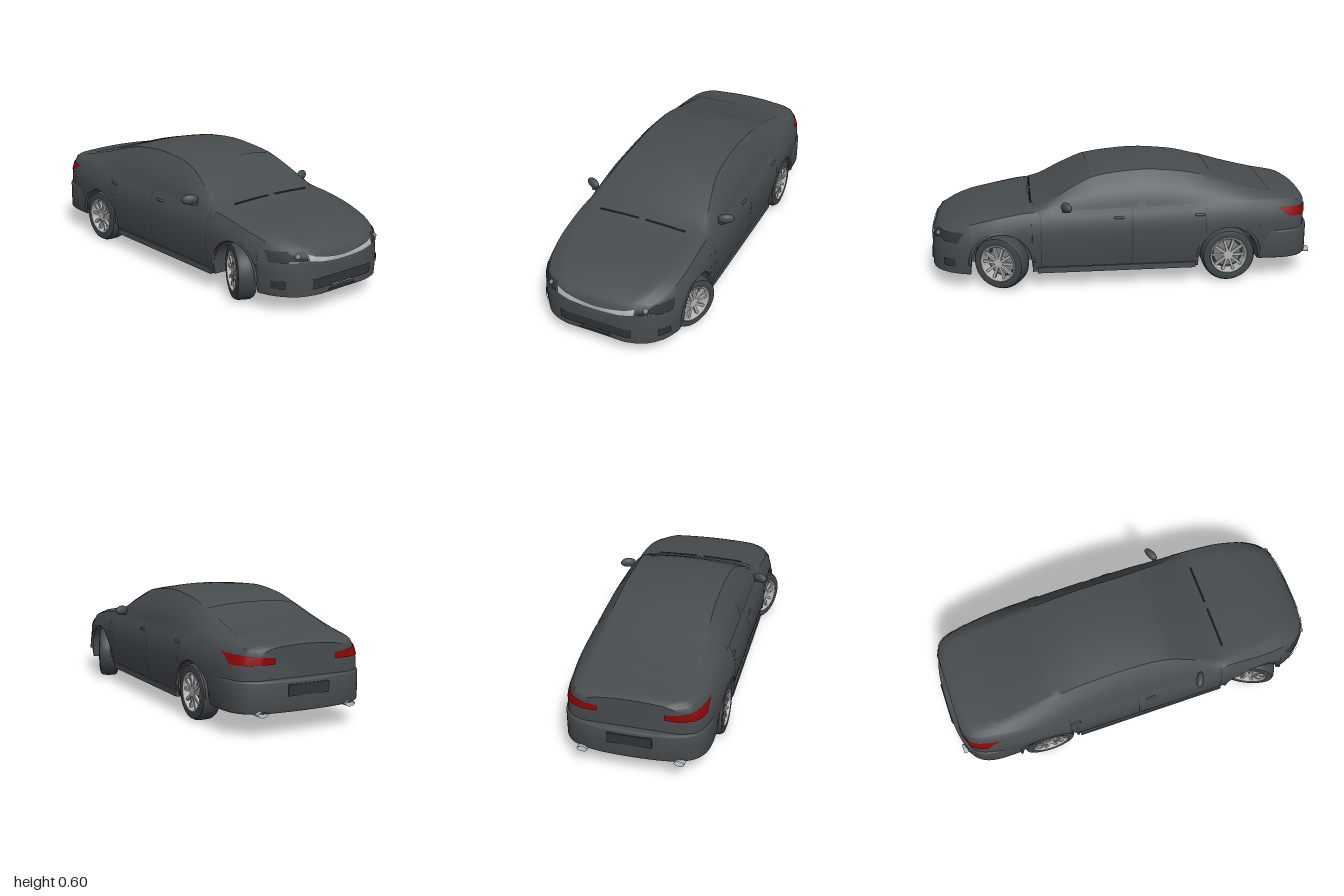
import * as THREE from 'three';
import { toCreasedNormals } from 'three/addons/utils/BufferGeometryUtils.js';

const mat = (name, color, side = THREE.FrontSide) => new THREE.MeshStandardMaterial({ name, color, side });

// Body stations: z, half width, belt x, belt y, roof edge x, roof edge y, centre top y
const ROWS = [
  [-0.962, 0.24, 0.215, 0.395, 0.17, 0.408, 0.418],
  [-0.93, 0.31, 0.275, 0.406, 0.235, 0.42, 0.43],
  [-0.88, 0.34, 0.30, 0.412, 0.26, 0.428, 0.437],
  [-0.78, 0.362, 0.32, 0.42, 0.27, 0.445, 0.455],
  [-0.6, 0.38, 0.345, 0.422, 0.265, 0.49, 0.503],
  [-0.45, 0.386, 0.352, 0.42, 0.255, 0.535, 0.553],
  [-0.3, 0.385, 0.352, 0.417, 0.25, 0.57, 0.588],
  [-0.1, 0.385, 0.352, 0.413, 0.25, 0.585, 0.603],
  [0.05, 0.385, 0.352, 0.41, 0.252, 0.575, 0.594],
  [0.17, 0.385, 0.352, 0.408, 0.262, 0.555, 0.573],
  [0.3, 0.385, 0.35, 0.405, 0.288, 0.497, 0.516],
  [0.45, 0.385, 0.35, 0.402, 0.315, 0.42, 0.44],
  [0.51, 0.385, 0.35, 0.398, 0.30, 0.41, 0.418],
  [0.65, 0.385, 0.35, 0.375, 0.29, 0.39, 0.398],
  [0.8, 0.372, 0.335, 0.34, 0.27, 0.365, 0.373],
  [0.9, 0.33, 0.30, 0.31, 0.24, 0.335, 0.343],
  [0.96, 0.27, 0.25, 0.285, 0.20, 0.305, 0.312],
  [0.985, 0.22, 0.205, 0.265, 0.17, 0.28, 0.287],
  [1.0, 0.16, 0.15, 0.23, 0.12, 0.25, 0.256],
];
const AXLES = [0.642, -0.535], HUB_Y = 0.14, ARCH_R = 0.157;

// Monotone cubic interpolation of the station table
function at(z) {
  const n = ROWS.length;
  let i = 0;
  while (i < n - 2 && z > ROWS[i + 1][0]) i++;
  const h = ROWS[i + 1][0] - ROWS[i][0], t = (z - ROWS[i][0]) / h;
  const slope = (k, c) => (ROWS[k + 1][c] - ROWS[k][c]) / (ROWS[k + 1][0] - ROWS[k][0]);
  const tangent = (k, c) => {
    if (k === 0) return slope(0, c);
    if (k === n - 1) return slope(n - 2, c);
    const a = slope(k - 1, c), b = slope(k, c);
    return a * b > 0 ? (2 * a * b) / (a + b) : 0;
  };
  return [1, 2, 3, 4, 5, 6].map((c) => {
    const t2 = t * t, t3 = t2 * t;
    return ROWS[i][c] * (2 * t3 - 3 * t2 + 1) + ROWS[i + 1][c] * (3 * t2 - 2 * t3)
      + h * (tangent(i, c) * (t3 - 2 * t2 + t) + tangent(i + 1, c) * (t3 - t2));
  });
}

// Half width of the body at height y
function sideX(z, y) {
  const [W, xB, yB, xR, yR, yT] = at(z), yM = yB - 0.12;
  if (y <= yM) return W * (1 - 0.07 * ((yM - y) / 0.2) ** 2);
  if (y <= yB) return W - (W - xB) * ((y - yM) / 0.12) ** 2;
  if (y <= yR) {
    const t = (y - yB) / (yR - yB);
    return xB + (xR - xB) * t + 0.1 * (yR - yB) * Math.sin(Math.PI * t);
  }
  return y < yT ? xR * Math.sqrt(1 - (y - yR) / (yT - yR)) : -1;
}
const topY = (z, x) => { const [, , , xR, yR, yT] = at(z); return yR + (yT - yR) * (1 - (x / xR) ** 2); };

// Half a cross-section, from bottom centre round to top centre, with wheel wells
function section(z) {
  const [, , yB, xR, yR] = at(z), sill = z < -0.535 ? 0.11 : 0.085;
  let yb = sill;
  for (const a of AXLES) {
    const d = Math.abs(z - a);
    if (d <= ARCH_R + 1e-6) yb = HUB_Y + Math.sqrt(Math.max(0, ARCH_R ** 2 - d * d));
  }
  const xb = sideX(z, yb), xi = Math.min(0.2, xb * 0.6);
  const p = [[0, 0.15], [xi * 0.5, 0.15], [xi, sill + 0.01], [xi, yb]];
  for (let k = 0; k <= 12; k++) { const y = yb + (yB - yb) * k / 12; p.push([sideX(z, y), y]); }
  for (let k = 1; k <= 6; k++) { const y = yB + (yR - yB) * k / 6; p.push([sideX(z, y), y]); }
  for (let k = 1; k <= 8; k++) { const x = xR * (1 - k / 8); p.push([x, topY(z, x)]); }
  return p;
}

function bodyGeometry() {
  const zs = ROWS.map((r) => r[0]).concat([0.998, 0.995, 0.99, 0.98, 0.972, -0.95, -0.94, -0.91]);
  for (let z = -0.86; z < 0.95; z += 0.04) zs.push(z);
  for (const a of AXLES) {
    for (let k = 0; k <= 20; k++) zs.push(a + ARCH_R * Math.cos(Math.PI * k / 20));
    zs.push(a + ARCH_R + 0.001, a - ARCH_R - 0.001);
  }
  zs.sort((a, b) => a - b);
  const pos = [], idx = [];
  let n = 0;
  for (const z of zs) {
    const half = section(z);
    const ring = half.concat(half.slice(1, -1).reverse().map(([x, y]) => [-x, y]));
    n = ring.length;
    ring.forEach(([x, y]) => pos.push(x, y, z));
  }
  const last = (zs.length - 1) * n, c = zs.length * n;
  pos.push(0, 0.27, zs[0], 0, 0.18, zs[zs.length - 1]);
  for (let j = 0; j < n; j++) {
    const k = (j + 1) % n;
    for (let i = 0; i < last; i += n) idx.push(i + j, i + k, i + n + k, i + j, i + n + k, i + n + j);
    idx.push(c, k, j, c + 1, last + j, last + k);
  }
  const g = new THREE.BufferGeometry();
  g.setAttribute('position', new THREE.Float32BufferAttribute(pos, 3));
  g.setIndex(idx);
  return toCreasedNormals(g, 0.6);
}

export function createModel() {
  const car = new THREE.Group();
  const D = THREE.DoubleSide;
  const paint = mat('body paint', 0x474c4f), glass = mat('window glass', 0x464b4e, D);
  const rubber = mat('tyre rubber', 0x40464a), alloy = mat('rim alloy', 0xb4b4b4);
  const chrome = mat('chrome', 0xb0b2b3, D), red = mat('tail light red', 0x8c0505, D);
  const dark = mat('dark trim', 0x303437, D), steel = mat('underbody steel', 0x7c7f80);

  const add = (name, g, m, x = 0, y = 0, z = 0, parent = car) => {
    const o = new THREE.Mesh(g, m);
    o.name = name; o.position.set(x, y, z); parent.add(o);
    return o;
  };
  // Thin sheet from a rule f(u, v) giving a point
  const sheet = (name, m, f, nu = 16, nv = 6) => {
    const g = new THREE.PlaneGeometry(1, 1, nu, nv), p = g.attributes.position;
    for (let i = 0; i < p.count; i++) p.setXYZ(i, ...f(p.getX(i) + 0.5, p.getY(i) + 0.5));
    g.computeVertexNormals();
    return add(name, g, m);
  };
  const sidePanel = (name, m, s, z0, z1, lo, hi) => sheet(name, m, (u, v) => {
    const z = z0 + (z1 - z0) * u, y = lo(z) + (hi(z) - lo(z)) * v;
    return [s * (sideX(z, y) + 0.003), y, z];
  });
  const topPanel = (name, z0, z1, bow) => sheet(name, glass, (u, v) => {
    const k = (u - 0.5) * 2, z = z0 + (z1 - z0) * v + bow * v * (1 - k * k), x = k * at(z)[3] * 0.95;
    return [x, topY(z, x) + 0.003, z];
  }, 16, 12);
  // Sheet wrapped round the nose (or tail) of the body
  const endPanel = (name, m, x0, x1, lo, hi, zIn, zOut) => sheet(name, m, (u, v) => {
    const x = x0 + (x1 - x0) * u, y = lo(x) + (hi(x) - lo(x)) * v;
    let a = zIn, b = zOut;
    for (let k = 0; k < 30; k++) { const c = (a + b) / 2; if (sideX(c, y) > Math.abs(x)) a = c; else b = c; }
    return [x + Math.sign(x) * 0.002, y, a + Math.sign(zOut) * 0.005];
  }, 24, 6);

  add('body', bodyGeometry(), paint);
  topPanel('windscreen', 0.18, 0.47, 0.03);
  topPanel('rearWindow', -0.46, -0.77, 0);

  // Rear bumper
  const plan = new THREE.Shape();
  plan.moveTo(0.35, 0.71);
  plan.bezierCurveTo(0.36, 0.93, 0.33, 0.988, 0, 0.988);
  plan.bezierCurveTo(-0.33, 0.988, -0.36, 0.93, -0.35, 0.71);
  const bumper = new THREE.ExtrudeGeometry(plan, { depth: 0.13, bevelSize: 0.012, bevelThickness: 0.012, bevelSegments: 3, curveSegments: 24 });
  bumper.rotateX(-Math.PI / 2);
  add('rearBumper', toCreasedNormals(bumper, 0.6), paint, 0, 0.122, 0);
  add('rearPlatePanel', new THREE.BoxGeometry(0.22, 0.055, 0.008), dark, 0, 0.215, -1);

  // Nose details
  endPanel('grilleBar', chrome, -0.205, 0.205, (x) => 0.235 + 0.5 * x * x, (x) => 0.257 + 0.7 * x * x, 0.75, 1);
  endPanel('lowerIntake', dark, -0.19, 0.19, (x) => 0.118, (x) => 0.168, 0.75, 1);
  add('frontSplitter', new THREE.BoxGeometry(0.28, 0.012, 0.03), dark, 0, 0.087, 0.98);

  for (const s of [1, -1]) {
    // Lamps
    endPanel('headlight', dark, s * 0.215, s * 0.348, (x) => 0.262 - 0.1 * (Math.abs(x) - 0.215), (x) => 0.302, 0.75, 1);
    endPanel('headlightStrip', chrome, s * 0.22, s * 0.29, () => 0.2535, () => 0.2575, 0.75, 1);
    add('headlightLens', new THREE.SphereGeometry(0.014, 16, 10), steel, s * 0.255, 0.281, 0.959);
    endPanel('fogSlot', dark, s * 0.305, s * 0.345, () => 0.125, () => 0.165, 0.7, 1);
    endPanel('tailLight', red, s * 0.16, s * 0.343, (x) => 0.335, (x) => 0.365 + 0.1 * (Math.abs(x) - 0.16), -0.75, -0.962);

    // Side glass, door seams and handles
    const lo = (z) => at(z)[2] + 0.003, hi = (z) => at(z)[4] - 0.012;
    sidePanel('frontDoorWindow', glass, s, -0.06, 0.39, lo, hi);
    sidePanel('rearDoorWindow', glass, s, -0.42, -0.1, lo, hi);
    sidePanel('quarterWindow', glass, s, -0.51, -0.435, (z) => lo(z) + (-0.435 - z) * 0.4, (z) => hi(z) + (z + 0.435) * 0.3);
    for (const [z, y] of [[0.44, 0.12], [-0.03, 0.12], [-0.41, 0.27]])
      sidePanel('doorSeam', dark, s, z - 0.002, z + 0.002, () => y, lo);
    for (const z of [0.04, -0.38])
      add('doorHandle', new THREE.CapsuleGeometry(0.007, 0.04, 4, 8).rotateX(Math.PI / 2), paint, s * 0.374, 0.367, z);
    add('sill', new THREE.BoxGeometry(0.02, 0.03, 0.82), paint, s * 0.362, 0.095, 0.05);

    // Door mirror
    const shell = add('mirror', new THREE.SphereGeometry(1, 20, 14), paint, s * 0.383, 0.432, 0.308);
    shell.scale.set(0.043, 0.026, 0.02);
    shell.rotation.y = s * 0.45;
    add('mirrorStalk', new THREE.BoxGeometry(0.05, 0.012, 0.02), paint, s * 0.355, 0.41, 0.32);

    // Wiper
    add('wiper', new THREE.TubeGeometry(new THREE.CatmullRomCurve3([0.02, 0.12, 0.24].map((x) =>
      new THREE.Vector3(s * x, topY(0.487, x) + 0.006, 0.487))), 12, 0.004, 6), dark);

    // Exhaust and underbody
    add('exhaustTip', new THREE.CylinderGeometry(0.014, 0.014, 0.06, 16, 1, true).rotateX(Math.PI / 2).scale(1.9, 1, 1), chrome, s * 0.24, 0.113, -0.965);
    const pipe = [[0.02, 0.5], [0.025, 0], [0.03, -0.5], [0.1, -0.7], [0.2, -0.8]];
    add('exhaustPipe', new THREE.TubeGeometry(new THREE.CatmullRomCurve3(pipe.map(([x, z]) =>
      new THREE.Vector3(s * x, 0.115, z))), 40, 0.011, 8), steel);
    add('muffler', new THREE.CapsuleGeometry(0.03, 0.08, 6, 14).rotateZ(Math.PI / 2), steel, s * 0.2, 0.115, -0.82);

    AXLES.forEach((z, k) => {
      const lip = add('archLip', new THREE.TorusGeometry(ARCH_R + 0.004, 0.008, 6, 28, Math.PI), paint, s * 0.373, HUB_Y, z);
      lip.rotation.y = Math.PI / 2;
      add('axle', new THREE.CylinderGeometry(0.014, 0.014, 0.2, 10).rotateZ(Math.PI / 2), steel, s * 0.22, HUB_Y, z);

      // Wheel, with its outer face towards local +x
      const wheel = new THREE.Group();
      wheel.name = k ? 'rearWheel' : 'frontWheel';
      wheel.position.set(s * 0.328, HUB_Y, z);
      wheel.rotation.y = (s < 0 ? Math.PI : 0) - (k ? 0 : 0.45);
      car.add(wheel);
      const lathe = (pts) => new THREE.LatheGeometry(pts.map((p) => new THREE.Vector2(...p)), 48).rotateZ(-Math.PI / 2);
      add('tyre', toCreasedNormals(lathe([[0.094, -0.046], [0.115, -0.05], [0.131, -0.045], [0.139, -0.03], [0.14, 0],
        [0.139, 0.03], [0.131, 0.045], [0.115, 0.05], [0.094, 0.046], [0.092, 0], [0.094, -0.046]]), 0.7), rubber, 0, 0, 0, wheel);
      add('rimRing', lathe([[0.088, -0.04], [0.096, -0.046], [0.098, 0.048], [0.092, 0.05], [0.086, 0.044], [0.084, 0], [0.088, -0.04]]), alloy, 0, 0, 0, wheel);
      add('brakeDisc', new THREE.CylinderGeometry(0.072, 0.072, 0.012, 32).rotateZ(Math.PI / 2), steel, -0.005, 0, 0, wheel);
      add('wheelBack', new THREE.CylinderGeometry(0.086, 0.086, 0.006, 32).rotateZ(Math.PI / 2), dark, -0.02, 0, 0, wheel);
      add('hub', new THREE.CylinderGeometry(0.022, 0.026, 0.04, 20).rotateZ(-Math.PI / 2), alloy, 0.022, 0, 0, wheel);
      for (let i = 0; i < 10; i++) {
        const spoke = new THREE.BoxGeometry(0.014, 0.078, 0.013).translate(0.034, 0.054, 0);
        spoke.rotateX((Math.floor(i / 2) + (i % 2 ? 0.23 : -0.23)) * Math.PI * 2 / 5);
        add('spoke', spoke, alloy, 0, 0, 0, wheel);
      }
    });
  }
  return car;
}
